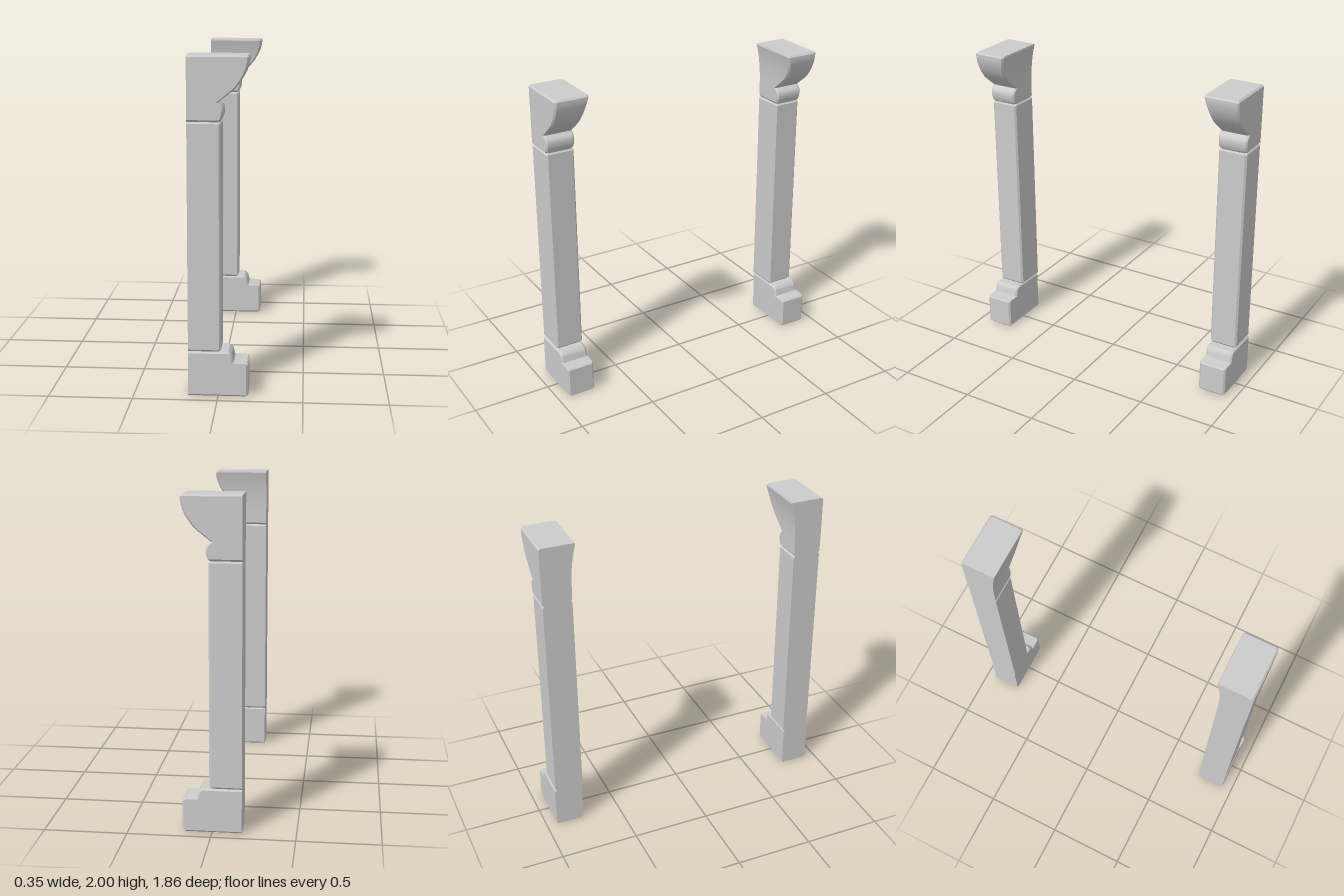
import * as THREE from 'three';
import { toCreasedNormals } from 'three/addons/utils/BufferGeometryUtils.js';

const BACK = -0.177;   // flat wall side of each pilaster
const BEVEL = 0.011;   // chamfer on the two free vertical edges

// Lofts bevelled rectangles through levels of [y, xFront, zInner, zOuter]; side = 1 or -1 mirrors in z.
function loft(levels, side) {
  const rings = levels.map(([y, x, zi, zo]) => {
    const ring = [
      [BACK, zi], [BACK, zo], [x - BEVEL, zo], [x, zo - BEVEL], [x, zi + BEVEL], [x - BEVEL, zi],
    ].map(([px, pz]) => new THREE.Vector3(px, y, pz * side));
    return side < 0 ? ring.reverse() : ring;
  });
  const pts = [];
  const n = 6;
  for (let k = 0; k < rings.length - 1; k++) {
    for (let i = 0; i < n; i++) {
      const j = (i + 1) % n;
      const [a, b, c, d] = [rings[k][i], rings[k][j], rings[k + 1][j], rings[k + 1][i]];
      pts.push(a, b, c, a, c, d);
    }
  }
  const bottom = rings[0], top = rings[rings.length - 1];
  for (let i = 1; i < n - 1; i++) {
    pts.push(top[0], top[i], top[i + 1], bottom[0], bottom[i + 1], bottom[i]);
  }
  const geometry = new THREE.BufferGeometry().setFromPoints(pts);
  return toCreasedNormals(geometry, 0.45);
}

// Smooth run of [x, y] points
const smooth = (points, steps) =>
  new THREE.SplineCurve(points.map(([x, y]) => new THREE.Vector2(x, y))).getPoints(steps);

function baseLevels() {
  const zi = 0.748, zo = 0.931, e = 0.01;
  const cove = smooth([[0.092, 0.206], [0.087, 0.225], [0.08, 0.25], [0.071, 0.262]], 8);
  return [
    [0, 0.167, zi + e, zo - e], [0.01, 0.177, zi, zo],
    [0.195, 0.177, zi, zo], [0.203, 0.169, zi, zo], [0.204, 0.1, zi, zo],
    ...cove.map((p) => [p.y, p.x, zi, zo]),
    [0.272, 0.06, zi + e, zo - e],
  ];
}

function shaftLevels() {
  const x = 0.017, zi = 0.743, zo = 0.927, e = 0.009;
  return [
    [0.272, x - e, zi + e, zo - e], [0.283, x, zi, zo],
    [1.615, x, zi, zo], [1.625, x - e, zi + e, zo - e],
  ];
}

function capitalLevels() {
  const zo = 0.929, e = 0.01;
  // inner face sweeps outward toward the top
  const inner = (y) => 0.744 - 0.006 * (y - 1.63) / 0.37 - 0.032 * Math.max(0, (y - 1.72) / 0.28) ** 2.4;
  const bead = smooth([[0.02, 1.637], [0.028, 1.66], [0.031, 1.685], [0.025, 1.71], [0, 1.735]], 14);
  const scoop = smooth([[0, 1.735], [0.048, 1.773], [0.098, 1.815], [0.135, 1.862],
    [0.16, 1.91], [0.174, 1.955], [0.177, 1.99]], 24);
  return [
    [1.625, 0.01, inner(1.63) + e, zo - e],
    ...bead.slice(0, -1).map((p) => [p.y, p.x, inner(p.y), zo]),
    ...scoop.map((p) => [p.y, p.x, inner(p.y), zo]),
    [2, 0.168, inner(2) + 0.005, zo - e],
  ];
}

export function createModel() {
  const model = new THREE.Group();
  model.name = 'pilasterPair';
  const material = new THREE.MeshStandardMaterial({ color: 0xcccccc });
  const parts = { base: baseLevels(), shaft: shaftLevels(), capital: capitalLevels() };

  for (const side of [1, -1]) {
    const pilaster = new THREE.Group();
    pilaster.name = side > 0 ? 'frontPilaster' : 'backPilaster';
    for (const [name, levels] of Object.entries(parts)) {
      const mesh = new THREE.Mesh(loft(levels, side), material);
      mesh.name = name;
      pilaster.add(mesh);
    }
    model.add(pilaster);
  }
  return model;
}
